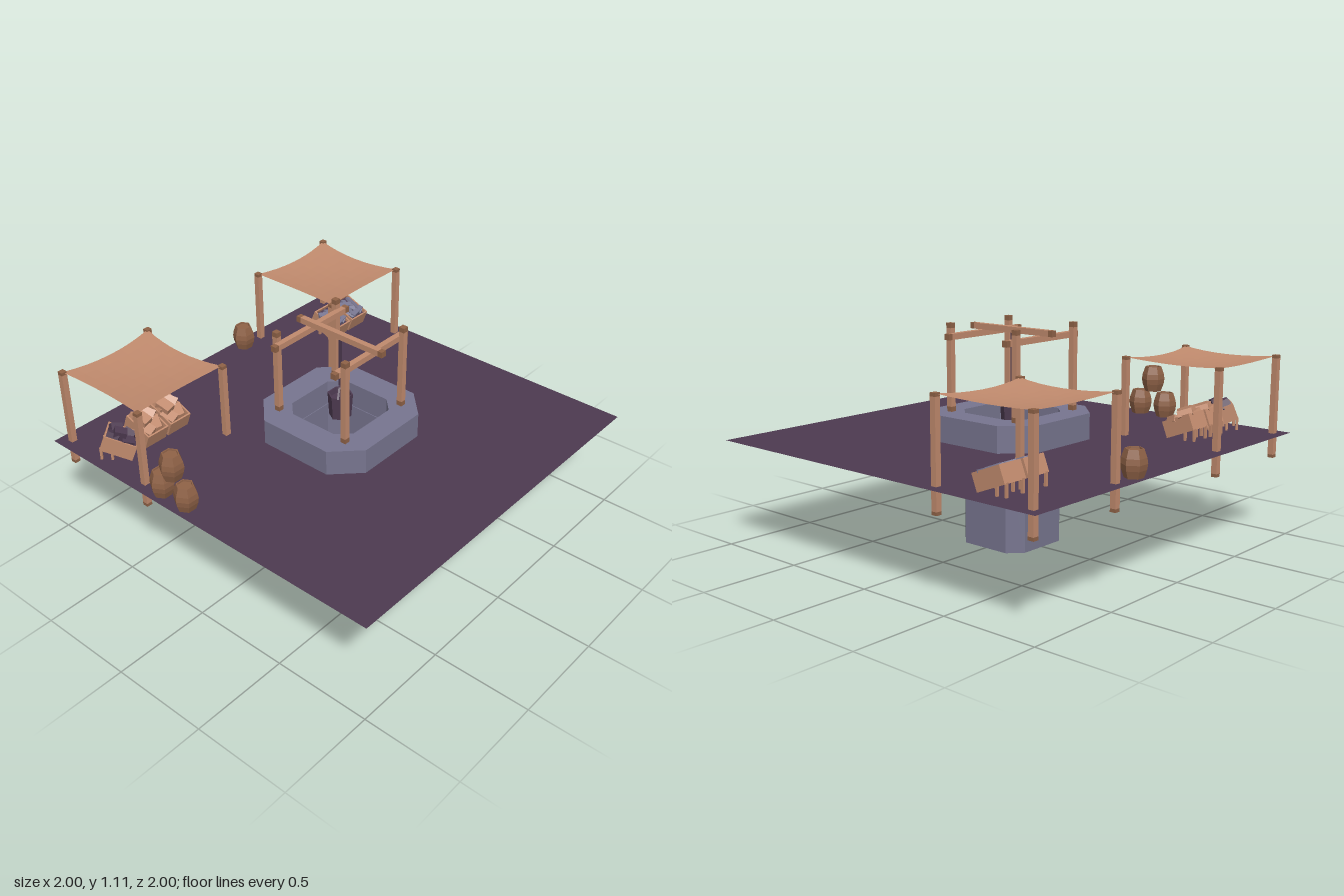
import * as THREE from 'three';

const mat = (name, color, extra = {}) =>
  Object.assign(new THREE.MeshStandardMaterial({ color, flatShading: true, ...extra }), { name });
const DS = { side: THREE.DoubleSide };

const GROUND = 0.535;

export function createModel() {
  const wood = mat('light wood', 0xc08a6d, DS);
  const darkWood = mat('dark wood', 0x8f6247);
  const stone = mat('blue grey stone', 0x77758f);
  const purple = mat('dark purple', 0x4d3a50, DS);
  const root = new THREE.Group();
  root.name = 'marketSquareWithWell';

  const add = (parent, name, geo, material, x = 0, y = 0, z = 0) => {
    const m = new THREE.Mesh(geo, material);
    m.name = name;
    m.position.set(x, y, z);
    parent.add(m);
    return m;
  };
  const group = (parent, name, x = 0, y = 0, z = 0) => {
    const g = new THREE.Group();
    g.name = name;
    g.position.set(x, y, z);
    parent.add(g);
    return g;
  };

  // Square outline with chamfered corners: half width a, corner start b
  const octagon = (a, b) => [[a, b], [b, a], [-b, a], [-a, b], [-a, -b], [-b, -a], [b, -a], [a, -b]]
    .map(([x, y]) => new THREE.Vector2(x, y));
  const ring = (outer, inner, height) => {
    const s = new THREE.Shape(outer);
    s.holes.push(new THREE.Path(inner));
    return new THREE.ExtrudeGeometry(s, { depth: height, bevelEnabled: false }).rotateX(-Math.PI / 2);
  };
  const flat = (outer, inner) => {
    const s = new THREE.Shape(outer);
    if (inner) s.holes.push(new THREE.Path(inner));
    return new THREE.ShapeGeometry(s).rotateX(-Math.PI / 2);
  };
  const square = (a) => [[a, a], [-a, a], [-a, -a], [a, -a]].map(([x, y]) => new THREE.Vector2(x, y));

  // Square beam with dark end pieces, long axis along y
  const T = 0.03;
  const beam = (parent, name, length, cap, x, y, z) => {
    const g = group(parent, name, x, y, z);
    add(g, 'beamBody', new THREE.BoxGeometry(T, length - 2 * cap, T), wood);
    for (const s of [-1, 1])
      add(g, 'beamEnd', new THREE.BoxGeometry(T, cap, T), darkWood, 0, s * (length - cap) / 2, 0);
    return g;
  };

  // Ground with an opening for the well shaft
  add(root, 'ground', flat(square(1), square(0.25)), purple, 0, GROUND - 0.001, 0);

  // Well
  const well = group(root, 'well');
  add(well, 'wellRim', ring(octagon(0.333, 0.2), octagon(0.2, 0.133), 0.132), stone, 0, GROUND, 0);
  add(well, 'wellShaft', ring(octagon(0.2, 0.133), octagon(0.196, 0.131), GROUND), stone);
  add(well, 'wellFloor', flat(octagon(0.198, 0.132)), purple, 0, 0.0005, 0);
  for (const sz of [-1, 1]) {
    for (const sx of [-1, 1])
      beam(well, 'wellPost', 0.44, 0.025, sx * 0.213, 0.887, sz * 0.213);
    beam(well, 'wellSideBeam', 0.533, 0.025, 0, 1.043, sz * 0.187).rotation.z = Math.PI / 2;
  }
  beam(well, 'wellCrossBeam', 0.533, 0.025, 0, 1.072, 0).rotation.x = Math.PI / 2;

  // Rope and bucket
  add(well, 'rope', new THREE.PlaneGeometry(0.022, 0.27).rotateY(Math.PI / 2), purple, 0, 0.922, 0);
  const bucket = group(well, 'bucket', 0, 0.62, 0);
  const bucketProfile = [[0, 0], [0.056, 0], [0.064, 0.127], [0.056, 0.127], [0.05, 0.1], [0, 0.1]]
    .map(([r, y]) => new THREE.Vector2(r, y));
  add(bucket, 'bucketBody', new THREE.LatheGeometry(bucketProfile, 6), purple).rotation.y = Math.PI / 2;
  const handle = group(bucket, 'bucketHandle');
  handle.rotation.y = Math.PI / 6;
  for (const s of [-1, 1])
    add(handle, 'handleSide', new THREE.BoxGeometry(0.062, 0.006, 0.01), purple, s * 0.038, 0.147, 0)
      .rotation.z = -s * 0.8;
  add(handle, 'handleTop', new THREE.BoxGeometry(0.036, 0.008, 0.012), purple, 0, 0.168, 0);

  // Canopies: four posts and a sagging cloth with inward-curving edges
  const H = 0.2675;
  const canopy = (x) => {
    const g = group(root, 'canopy', x, 0, -0.668);
    for (const sx of [-1, 1]) for (const sz of [-1, 1])
      beam(g, 'canopyPost', 0.525, 0.016, sx * H, 0.671, sz * H);
    const cloth = new THREE.PlaneGeometry(2, 2, 8, 8).rotateX(-Math.PI / 2);
    const p = cloth.attributes.position;
    for (let i = 0; i < p.count; i++) {
      const u = p.getX(i), v = p.getZ(i);
      const su = 1 - u * u, sv = 1 - v * v;
      p.setXYZ(i, u * (H - 0.026 * sv), 0.929 - 0.015 * (su + sv), v * (H - 0.026 * su));
    }
    cloth.computeVertexNormals();
    add(g, 'canopyCloth', cloth, wood);
  };
  canopy(-0.668);
  canopy(0.668);

  // Six-sided bulging barrels with sunken lids
  const barrelProfile = [[0, 0], [0.043, 0], [0.057, 0.04], [0.061, 0.067], [0.057, 0.094],
    [0.043, 0.134], [0.037, 0.134], [0.036, 0.126], [0, 0.126]].map(([r, y]) => new THREE.Vector2(r, y));
  const barrelGeo = new THREE.LatheGeometry(barrelProfile, 6).rotateY(Math.PI / 2);
  for (const [x, y, z] of [[-0.933, 0.53, -0.28], [-0.933, 0.53, -0.12], [-0.933, 0.665, -0.2],
    [0.267, 0.53, -0.936]])
    add(root, 'barrel', barrelGeo, darkWood, x, y, z);

  // Tilted open crates on short rear legs
  const W = 0.132, D = 0.165, CH = 0.085, t = 0.008;
  const crate = (x, turn, fill) => {
    const stand = group(root, 'crateStand', x, 0, -0.668);
    stand.rotation.y = turn;
    for (const sx of [-1, 1]) {
      add(stand, 'crateLeg', new THREE.BoxGeometry(0.012, 0.065, 0.012), wood, sx * 0.05, 0.57, -0.087);
      add(stand, 'crateLeg', new THREE.BoxGeometry(0.012, 0.05, 0.012), wood, sx * 0.05, 0.56, -0.035);
    }
    const box = group(stand, 'crate', 0, 0.606, 0);
    box.rotation.x = 0.38;
    for (const s of [-1, 1]) {
      add(box, 'crateSide', new THREE.BoxGeometry(t, CH, D), wood, s * (W - t) / 2, 0, 0);
      add(box, 'crateEnd', new THREE.BoxGeometry(W - 2 * t, CH, t), wood, 0, 0, s * (D - t) / 2);
    }
    add(box, 'crateBottom', new THREE.BoxGeometry(W - 2 * t, t, D - 2 * t), wood, 0, -(CH - t) / 2, 0);
    fill(box);
  };

  // Crate contents: size, position and tilt of each piece
  const pieces = (name, material, size, list) => (box) => {
    for (const [x, y, z, ry, rz] of list)
      add(box, name, new THREE.BoxGeometry(...size), material, x, y, z).rotation.set(0, ry, rz);
  };
  const loafSpots = [[-0.03, 0.03, 0.03, 0.3, 0.2], [0.03, 0.03, 0.03, -0.4, 0.5], [0.03, 0.04, -0.04, 0.5, 0.5],
    [-0.03, 0.035, -0.04, -0.2, -0.3], [-0.025, 0.062, -0.015, 0.2, 0.1]];
  const loaves = pieces('loaf', wood, [0.055, 0.036, 0.075], loafSpots);
  const darkGoods = pieces('darkGoods', purple, [0.045, 0.045, 0.06], loafSpots);
  const fish = pieces('fish', stone, [0.028, 0.014, 0.1], [[-0.04, 0.034, 0.015, 0.25, 0.3],
    [-0.01, 0.037, -0.01, -0.3, -0.2], [0.02, 0.035, 0.015, 0.4, 0.3], [0.042, 0.038, -0.01, -0.1, -0.3],
    [-0.02, 0.04, -0.03, 1.2, 0.1], [0.015, 0.04, 0.045, 1.8, -0.1]]);
  const lined = (goods) => (box) => {
    add(box, 'crateLining', new THREE.BoxGeometry(W - 2 * t, 0.005, D - 2 * t), purple, 0, 0.022, 0);
    goods(box);
  };
  crate(-0.85, 0.7, lined(darkGoods));
  crate(-0.685, 0, loaves);
  crate(-0.538, 0, loaves);
  crate(0.693, 0, lined(fish));
  crate(0.84, 0, lined(fish));

  return root;
}
